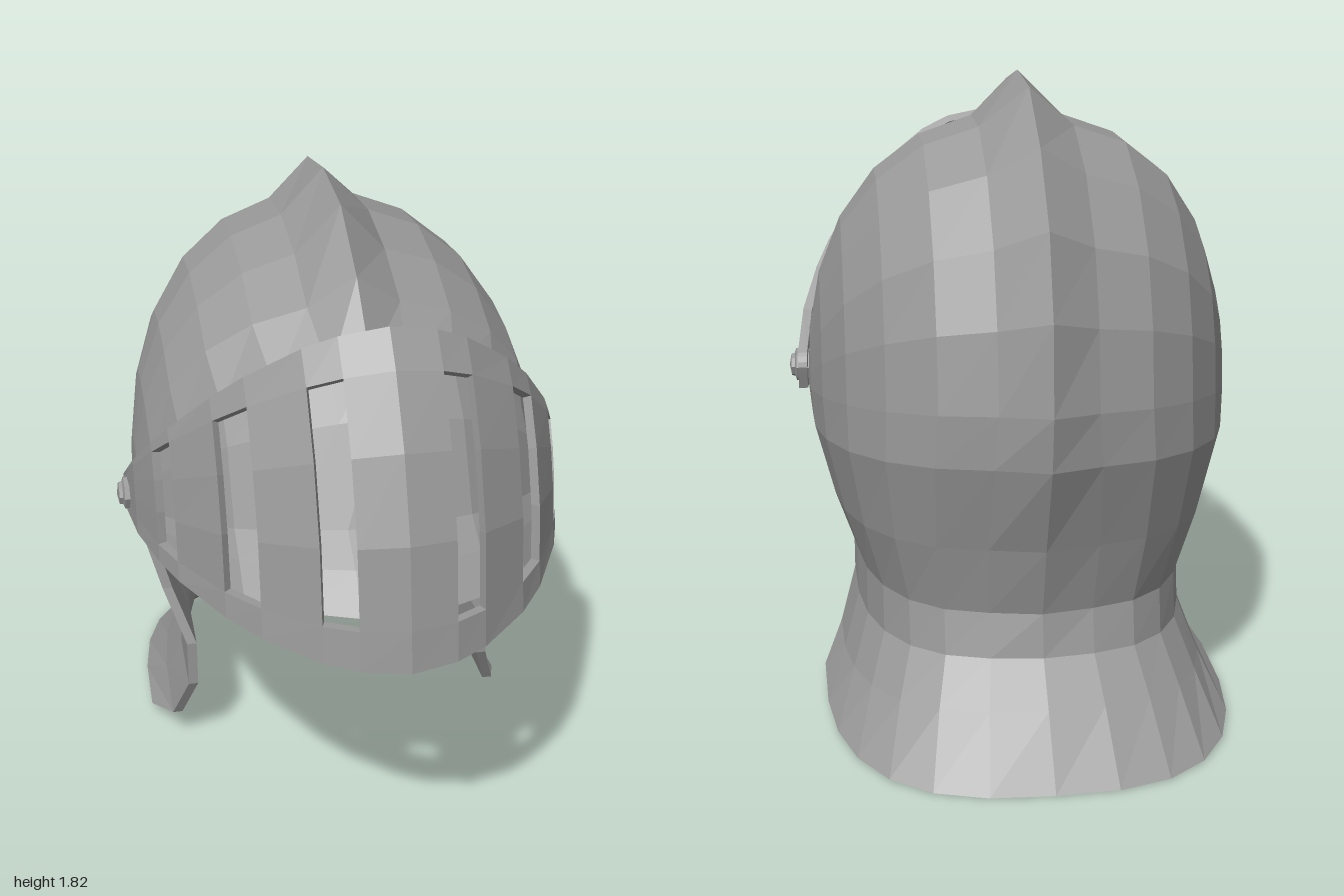
import * as THREE from 'three';

const material = new THREE.MeshStandardMaterial({ color: 0x999999, flatShading: true, side: THREE.DoubleSide });

// Thick shell from a grid of points; at(i, j, inset) gives a point, open(i, j) marks a missing cell.
function shell(name, rowCount, colCount, thickness, at, open = () => false) {
  const pos = [];
  const quad = (a, b, c, d) => [a, b, c, a, c, d].forEach(p => pos.push(p.x, p.y, p.z));
  const solid = (i, j) => i >= 0 && j >= 0 && i < rowCount - 1 && j < colCount - 1 && !open(i, j);
  for (let i = 0; i < rowCount - 1; i++) {
    for (let j = 0; j < colCount - 1; j++) {
      if (!solid(i, j)) continue;
      const corners = [[i, j], [i, j + 1], [i + 1, j + 1], [i + 1, j]];
      const out = corners.map(([a, b]) => at(a, b, 0));
      const inn = corners.map(([a, b]) => at(a, b, thickness));
      quad(...out);
      quad(inn[3], inn[2], inn[1], inn[0]);
      // rim walls wherever the neighbouring cell is missing
      [[i - 1, j], [i, j + 1], [i + 1, j], [i, j - 1]].forEach(([a, b], k) => {
        const m = (k + 1) % 4;
        if (!solid(a, b)) quad(out[m], out[k], inn[k], inn[m]);
      });
    }
  }
  const geometry = new THREE.BufferGeometry();
  geometry.setAttribute('position', new THREE.Float32BufferAttribute(pos, 3));
  geometry.computeVertexNormals();
  const mesh = new THREE.Mesh(geometry, material);
  mesh.name = name;
  return mesh;
}

// Point on a superelliptic arc from the centre line (z, y) to the side point (sz, sy) at half width.
// s is the signed fraction of the half width, c the fraction towards the centre line;
// sink lowers the point towards the side point, inset also narrows the width.
function arcPoint(z, y, sz, sy, width, s, c, inset, sink = 0) {
  const k = c * (1 - (inset + sink) / Math.hypot(z - sz, y - sy));
  return new THREE.Vector3(s * (width - inset), sy + (y - sy) * k, sz + (z - sz) * k);
}

// Mirror a list of values from the centre to both sides
const mirrored = list => [...list.slice(1).reverse().map(v => -v), ...list];

function createSkull() {
  // dome, from the front peak over the top to the back: centre z, y, crest height
  const dome = [
    [0.90, 0.92, 0], [0.80, 1.01, 0], [0.70, 1.08, 0], [0.58, 1.34, 0.01],
    [0.48, 1.46, 0.03], [0.30, 1.64, 0.09], [0.08, 1.78, 0.13], [-0.18, 1.82, 0.12],
    [-0.43, 1.79, 0.11], [-0.65, 1.65, 0.09], [-0.82, 1.46, 0.09], [-0.90, 1.24, 0.08], [-0.92, 1.00, 0.06],
  ].map(p => [...p, 0, 0.88, 0.615]);
  // neck: centre z, y, crest height, cheek z, y, half width
  const neck = [
    [-0.90, 0.85, 0.05, 0, 0.78, 0.605],
    [-0.80, 0.60, 0.03, 0.03, 0.58, 0.55],
    [-0.74, 0.40, 0.02, 0.08, 0.40, 0.487],
    [-0.76, 0.28, 0.01, 0.075, 0.25, 0.487],
    [-0.86, 0.17, 0.01, 0, 0.10, 0.535],
    [-1.00, 0.00, 0, -0.17, 0.03, 0.59],
  ];
  const rows = [...dome, ...neck];
  const angles = mirrored([0, 0.17, 0.42, 0.68, 0.94, 1.18, 1.4, Math.PI / 2]);
  return shell('skull', rows.length, angles.length, 0.03, (i, j, inset) => {
    const [z, y, crest, sz, sy, width] = rows[i];
    // rounder at the brow, squarer down the neck
    const squareness = z > 0.4 ? 2 : Math.min(2.9, 2.3 + 1.1 * Math.max(0, 1 - y));
    const a = angles[j], e = 2 / squareness;
    const s = Math.sign(a) * Math.pow(Math.abs(Math.sin(a)), e);
    const c = Math.pow(Math.max(0, Math.cos(a)), e);
    return arcPoint(z, y, sz, sy, width, s, c, inset, a === 0 ? 0 : crest);
  });
}

function createVisor() {
  // centre z, y | side z, y | bow of the row between them, from the bottom edge up
  const rows = [
    [1.00, 0.81, 0.00, 0.86, 0.13],
    [0.985, 0.925, -0.02, 0.915, 0],
    [0.95, 1.15, -0.025, 0.93, -0.03],
    [0.87, 1.37, -0.02, 0.945, -0.07],
    [0.765, 1.55, -0.01, 0.96, -0.1],
    [0.69, 1.64, 0.00, 0.97, -0.2],
  ];
  const fractions = mirrored([0, 0.2, 0.335, 0.55, 0.675, 0.835, 0.9, 0.97, 1]);
  const mid = (fractions.length - 1) / 2, n = 1.85;
  // every second strip, three on each side, is a sight slot
  const slot = (i, j) => {
    const k = j >= mid ? j - mid : mid - 1 - j;
    return i >= 1 && i <= 3 && k % 2 === 1 && k < 6;
  };
  return shell('visor', rows.length, fractions.length, 0.027, (i, j, inset) => {
    const [z, y, sz, sy, bow] = rows[i];
    const s = fractions[j];
    const c = Math.pow(Math.max(0, 1 - Math.pow(Math.abs(s), n)), 1 / n);
    const p = arcPoint(z, y, sz, sy, 0.645, s, c, inset);
    p.y += bow * c * (1 - c);
    return p;
  }, slot);
}

// Visor pivot: a collar with a domed head
function createPivot(side) {
  const pivot = new THREE.Group();
  pivot.name = side > 0 ? 'leftPivot' : 'rightPivot';
  const profile = [[0, 0], [0.05, 0], [0.05, 0.055], [0.036, 0.06], [0.034, 0.07], [0, 0.076]];
  const head = new THREE.Mesh(
    new THREE.LatheGeometry(profile.map(p => new THREE.Vector2(...p)), 8), material);
  head.name = 'pivotBolt';
  head.rotation.z = -side * Math.PI / 2;
  pivot.add(head);
  pivot.position.set(side * 0.595, 0.925, 0.04);
  return pivot;
}

export function createModel() {
  const helmet = new THREE.Group();
  helmet.name = 'helmet';
  helmet.add(createSkull(), createVisor(), createPivot(1), createPivot(-1));
  return helmet;
}
